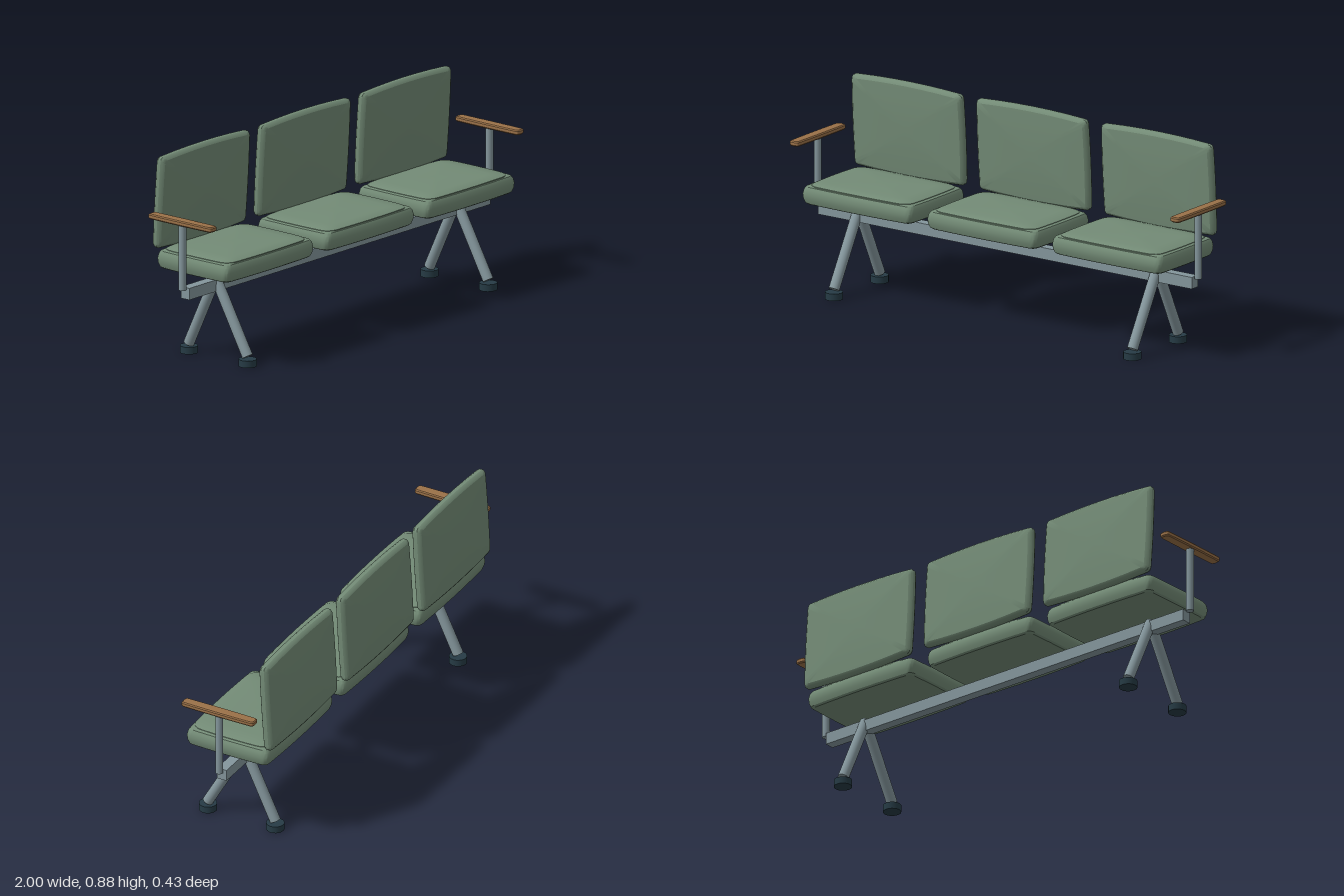
import * as THREE from 'three';
import { toCreasedNormals } from 'three/addons/utils/BufferGeometryUtils.js';

const material = (name, color) => {
  const m = new THREE.MeshStandardMaterial({ color });
  m.name = name;
  return m;
};

// Rounded rectangle whose four edges bow gently outward, counter-clockwise
function outline(w, d, r, bowX, bowY) {
  const x = w / 2 - bowX, y = d / 2 - bowY;
  const s = new THREE.Shape();
  s.moveTo(x - r, -y);
  s.quadraticCurveTo(x, -y, x, -y + r);
  s.quadraticCurveTo(x + 2 * bowX, 0, x, y - r);
  s.quadraticCurveTo(x, y, x - r, y);
  s.quadraticCurveTo(0, y + 2 * bowY, -x + r, y);
  s.quadraticCurveTo(-x, y, -x, y - r);
  s.quadraticCurveTo(-x - 2 * bowX, 0, -x, -y + r);
  s.quadraticCurveTo(-x, -y, -x + r, -y);
  s.quadraticCurveTo(0, -y - 2 * bowY, x - r, -y);
  return s.getPoints(6).slice(0, -1);
}

// Skin an outline through [height, inset] layers along z, with domed caps
function cushion(w, d, r, bowX, bowY, layers, domeLow, domeHigh) {
  const pts = outline(w, d, r, bowX, bowY);
  const ring = (z, kx, ky) => pts.map((p) => [p.x * kx, p.y * ky, z]);
  const skin = layers.map(([z, inset]) => ring(z, 1 - (2 * inset) / w, 1 - (2 * inset) / d));
  const cap = ([z, inset], rise) => [0.75, 0.5, 0.25, 0].map((k) =>
    ring(z + rise * (1 - k * k), k * (1 - (2 * inset) / w), k * (1 - (2 * inset) / d)));
  const rings = [
    ...cap(layers[0], -domeLow).reverse(),
    ...skin,
    ...cap(layers[layers.length - 1], domeHigh),
  ];
  const n = pts.length, index = [];
  for (let i = 0; i < rings.length - 1; i++) {
    for (let j = 0; j < n; j++) {
      const a = i * n + j, b = i * n + ((j + 1) % n);
      if (i > 0) index.push(a, b, b + n);
      else index.push(a, b + n, a + n);
      if (i > 0 && i < rings.length - 2) index.push(a, b + n, a + n);
    }
  }
  const g = new THREE.BufferGeometry();
  g.setAttribute('position', new THREE.Float32BufferAttribute(rings.flat(2), 3));
  g.setIndex(index);
  return toCreasedNormals(g, 0.5);
}

export function createModel() {
  const model = new THREE.Group();
  model.name = 'waitingBench';
  const green = material('greenUpholstery', 0x738b76);
  const steel = material('greySteel', 0x84969c);
  const wood = material('brownWood', 0x9a7148);
  const rubber = material('darkRubber', 0x263b45);

  const add = (name, geometry, mat, x = 0, y = 0, z = 0) => {
    const mesh = new THREE.Mesh(geometry, mat);
    mesh.name = name;
    mesh.position.set(x, y, z);
    model.add(mesh);
    return mesh;
  };

  // Upholstery
  const seatGeo = cushion(0.57, 0.405, 0.03, 0.003, 0.006,
    [[0.387, 0.016], [0.393, 0.008], [0.41, 0.002], [0.43, 0], [0.45, 0.004], [0.461, 0.011], [0.465, 0.02]], 0, 0)
    .rotateX(-Math.PI / 2);
  const padGeo = cushion(0.525, 0.375, 0.06, 0.003, 0.004,
    [[0.46, 0], [0.467, 0.001], [0.47, 0.006]], 0, 0.009).rotateX(-Math.PI / 2);
  const backGeo = cushion(0.57, 0.415, 0.022, 0.003, 0.009,
    [[-0.022, 0.014], [-0.016, 0.005], [-0.007, 0], [0.007, 0], [0.016, 0.005], [0.022, 0.014]], 0.008, 0.008);

  for (const x of [-0.64, 0, 0.64]) {
    add('seatCushion', seatGeo, green, x, 0, 0.007);
    add('seatPad', padGeo, green, x, 0, 0.007);
    add('backrest', backGeo, green, x, 0.668, -0.178).rotation.x = 0.062;
  }

  // Carrying beam
  add('beam', new THREE.BoxGeometry(1.916, 0.05, 0.045), steel, 0, 0.321, 0.006);

  // Legs, feet and arms
  const footGeo = new THREE.CylinderGeometry(0.038, 0.038, 0.03, 20);
  const postGeo = new THREE.CylinderGeometry(0.016, 0.016, 0.285, 20);
  const armGeo = cushion(0.048, 0.345, 0.01, 0.002, 0.002,
    [[0.619, 0.004], [0.624, 0], [0.636, 0], [0.641, 0.004]], 0, 0.003).rotateX(-Math.PI / 2);
  const up = new THREE.Vector3(0, 1, 0);

  for (const side of [-1, 1]) {
    for (const [name, z] of [['front', 0.181], ['rear', -0.139]]) {
      const top = new THREE.Vector3(side * 0.765, 0.348, 0.007);
      const end = new THREE.Vector3(side * 0.765, 0.04, z);
      const axis = top.clone().sub(end);
      const leg = add(name + 'Leg', new THREE.CylinderGeometry(0.023, 0.023, axis.length(), 20), steel);
      leg.position.copy(top).add(end).multiplyScalar(0.5);
      leg.quaternion.setFromUnitVectors(up, axis.normalize());
      add(name + 'Foot', footGeo, rubber, side * 0.765, 0.015, z);
    }
    add('armPost', postGeo, steel, side * 0.976, 0.482, 0.007);
    add('armrest', armGeo, wood, side * 0.976, 0, 0.007);
  }
  return model;
}
